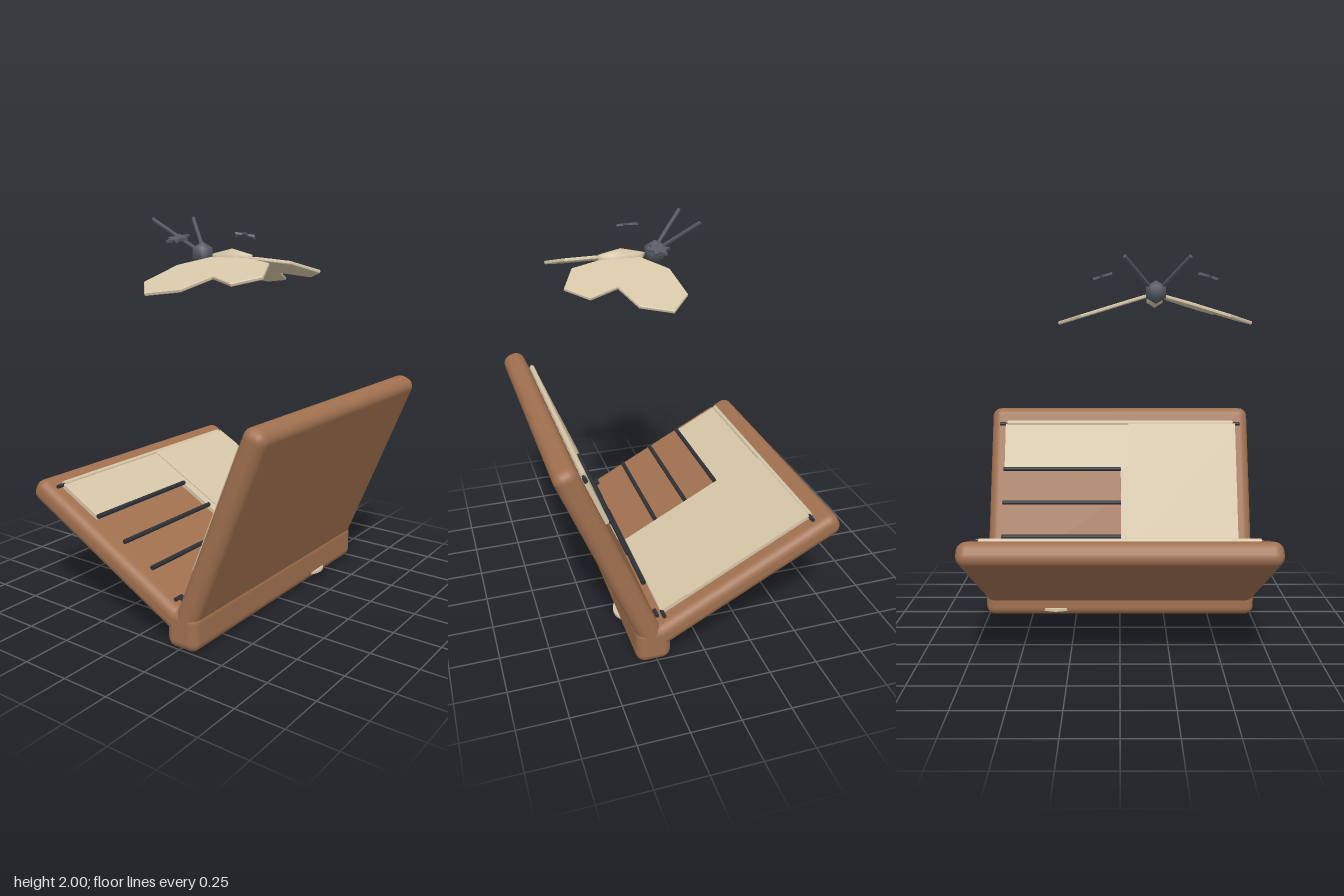
import * as THREE from 'three';
import { RoundedBoxGeometry } from 'three/addons/geometries/RoundedBoxGeometry.js';

const material = (name, color) => {
  const m = new THREE.MeshStandardMaterial({ color });
  m.name = name;
  return m;
};

export function createModel() {
  const leather = material('leather brown', 0xa0704f);
  const parchment = material('parchment tan', 0xd6c6a8);
  const slate = material('slate grey', 0x555a63);
  const iron = material('dark iron', 0x2e3136);

  const model = new THREE.Group();
  model.name = 'openCaseWithButterfly';

  const add = (parent, name, geometry, mat, x = 0, y = 0, z = 0) => {
    const mesh = new THREE.Mesh(geometry, mat);
    mesh.name = name;
    mesh.position.set(x, y, z);
    parent.add(mesh);
    return mesh;
  };
  // Horizontal rod from x0 to x1
  const rod = (parent, name, mat, radius, x0, x1, y, z) =>
    add(parent, name, new THREE.CylinderGeometry(radius, radius, x1 - x0, 12).rotateZ(Math.PI / 2),
      mat, (x0 + x1) / 2, y, z);
  const outline = (points) => new THREE.Shape(points.map(([x, y]) => new THREE.Vector2(x, y)));

  // Spine with the round clasp disc set through it
  const hingeY = 0.114, hingeZ = 0.265;
  add(model, 'spine', new RoundedBoxGeometry(1.53, 0.2, 0.18, 5, 0.05), leather, 0, 0.1, hingeZ);
  add(model, 'claspDisc', new THREE.CylinderGeometry(0.11, 0.11, 0.014, 32), parchment, 0.365, 0.04, hingeZ);

  // One cover: local y runs away from the hinge, local z faces inward
  function makeCover(name) {
    const cover = new THREE.Group();
    cover.name = name;
    add(cover, 'board', new RoundedBoxGeometry(1.53, 1.1, 0.12, 5, 0.05), leather, 0, 0.55, 0);

    // L-shaped page leaving the pocket open at lower left
    const page = outline([
      [0.005, 0.11], [0.674, 0.11], [0.674, 0.995], [-0.68, 0.995], [-0.68, 0.71], [0.005, 0.71],
    ]);
    add(cover, 'page', new THREE.ExtrudeGeometry(page, { depth: 0.023, bevelEnabled: false }),
      parchment, 0, 0, 0.058);
    add(cover, 'card', new THREE.BoxGeometry(0.635, 0.72, 0.008), parchment, 0.368, 0.625, 0.083);

    // Rolled page edges on dark pins
    rod(cover, 'rolledTopEdge', parchment, 0.014, -0.67, 0.67, 0.993, 0.075);
    rod(cover, 'rolledLowerEdge', parchment, 0.01, 0.005, 0.67, 0.112, 0.072);
    for (const y of [0.11, 0.988]) {
      rod(cover, 'leftPin', iron, 0.01, -0.715, -0.665, y, 0.072);
      rod(cover, 'rightPin', iron, 0.01, 0.665, 0.715, y, 0.072);
    }
    // Retaining bars over the pocket
    for (const y of [0.31, 0.51, 0.71]) {
      rod(cover, 'pocketBar', iron, 0.012, -0.685, 0.005, y, 0.088);
    }
    cover.position.set(0, hingeY, hingeZ);
    cover.rotation.order = 'YXZ';
    model.add(cover);
    return cover;
  }
  const backCover = makeCover('backCover');
  backCover.rotation.x = THREE.MathUtils.degToRad(-62);
  const frontCover = makeCover('frontCover');
  frontCover.rotation.set(THREE.MathUtils.degToRad(-22), Math.PI, 0);

  // Butterfly hovering above the case
  const butterfly = new THREE.Group();
  butterfly.name = 'butterfly';
  butterfly.position.x = -0.185;
  model.add(butterfly);

  add(butterfly, 'body', new THREE.SphereGeometry(1, 12, 3).scale(0.05, 0.055, 0.137),
    parchment, 0, 1.795, 0.152);
  add(butterfly, 'head', new THREE.SphereGeometry(0.06, 10, 3), slate, 0, 1.82, -0.03);

  const wingPoints = [
    [0.043, 0.061], [0.172, -0.057], [0.403, -0.078], [0.531, 0.029], [0.463, 0.184],
    [0.292, 0.242], [0.364, 0.393], [0.262, 0.5], [0.094, 0.426], [0.043, 0.279],
  ];
  const starPoints = Array.from({ length: 12 }, (_, i) => {
    const r = i % 2 ? 0.034 : 0.06, a = (i * Math.PI) / 6;
    return [r * Math.sin(a), r * Math.cos(a)];
  });
  // Flat plate lying in the xz plane, centred on its thickness
  const plate = (points, depth, bevel) =>
    new THREE.ExtrudeGeometry(outline(points), {
      depth, bevelEnabled: bevel > 0, bevelSize: bevel, bevelThickness: bevel,
      bevelOffset: -bevel, bevelSegments: 1,
    }).translate(0, 0, -depth / 2).rotateX(Math.PI / 2);

  const tilt = THREE.MathUtils.degToRad(17);
  const up = new THREE.Vector3(0, 1, 0);
  for (const side of [1, -1]) {
    const label = side > 0 ? 'left' : 'right';
    const wing = add(butterfly, label + 'Wing',
      plate(wingPoints.map(([x, z]) => [side * x, z]), 0.01, 0.004), parchment, 0, 1.815, 0);
    wing.rotation.z = -side * tilt;

    const star = add(butterfly, label + 'Star', plate(starPoints, 0.012, 0), slate,
      side * 0.275, 1.902, 0.037);
    star.rotation.z = -side * tilt;

    const start = new THREE.Vector3(side * 0.03, 1.845, -0.05);
    const end = new THREE.Vector3(side * 0.163, 1.99, -0.215);
    const dir = end.clone().sub(start);
    const feeler = add(butterfly, label + 'Antenna',
      new THREE.CylinderGeometry(0.01, 0.01, dir.length(), 8), slate);
    feeler.position.copy(start).add(end).multiplyScalar(0.5);
    feeler.quaternion.setFromUnitVectors(up, dir.normalize());
  }
  return model;
}
